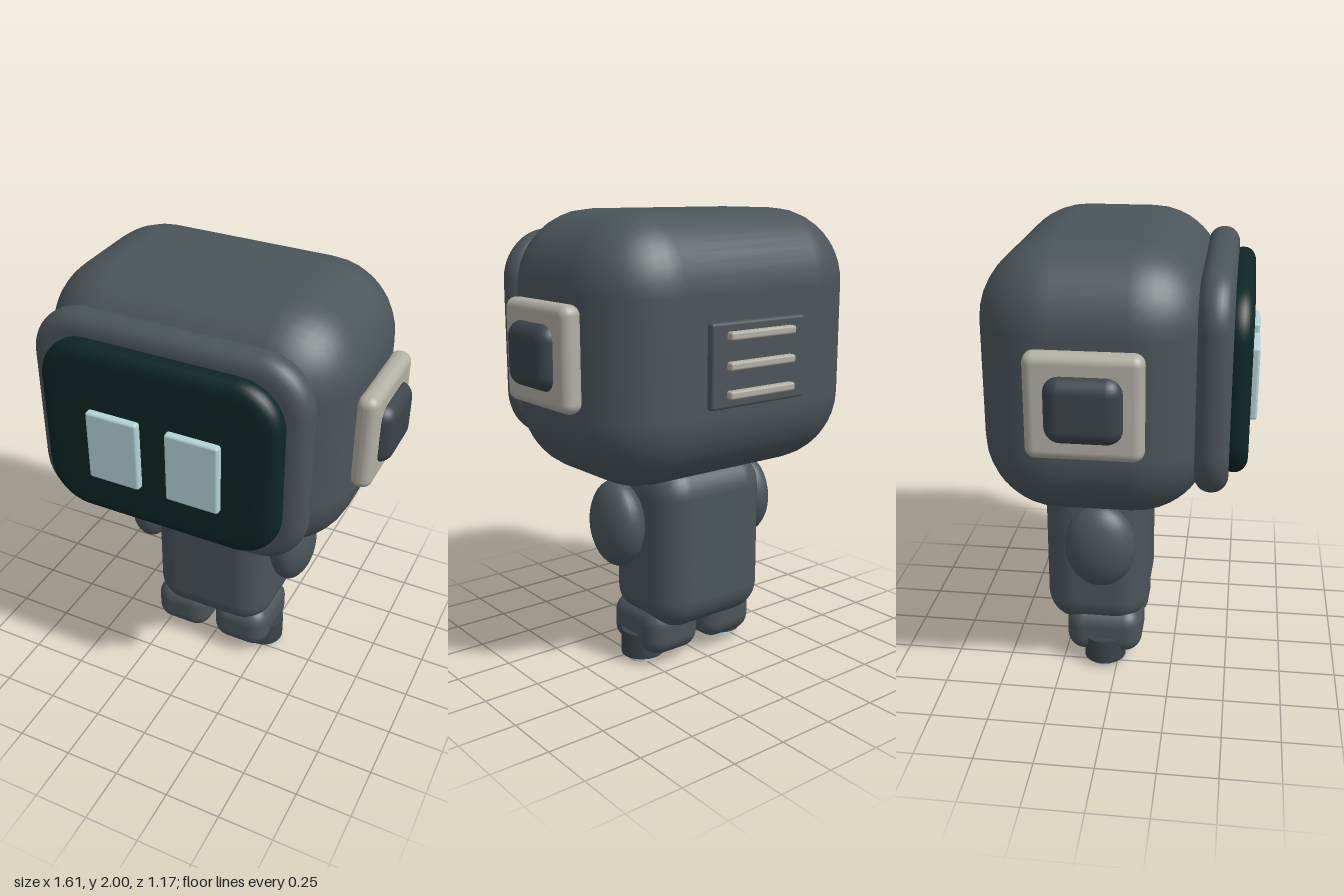
import * as THREE from 'three';
import { RoundedBoxGeometry } from 'three/addons/geometries/RoundedBoxGeometry.js';
import { toCreasedNormals } from 'three/addons/utils/BufferGeometryUtils.js';

const material = (name, color) => {
  const m = new THREE.MeshStandardMaterial({ color });
  m.name = name;
  return m;
};

// Rounded rectangle with pillowed edges, spanning z0..z1
function pillowPlate(w, h, corner, bevel, z0, z1) {
  const x = w / 2 - bevel, y = h / 2 - bevel, r = corner - bevel;
  const s = new THREE.Shape();
  s.absarc(x - r, y - r, r, 0, Math.PI / 2);
  s.absarc(-x + r, y - r, r, Math.PI / 2, Math.PI);
  s.absarc(-x + r, -y + r, r, Math.PI, Math.PI * 1.5);
  s.absarc(x - r, -y + r, r, Math.PI * 1.5, Math.PI * 2);
  s.closePath();
  const depth = 0.01, thick = (z1 - z0 - depth) / 2;
  const g = new THREE.ExtrudeGeometry(s, {
    depth, bevelThickness: thick, bevelSize: bevel, bevelSegments: 6, curveSegments: 8,
  });
  g.translate(0, 0, z0 + thick);
  return toCreasedNormals(g, 0.7);
}

export function createModel() {
  const model = new THREE.Group();
  const shell = material('shell grey', 0x4b555a);
  const dark = material('dark grey', 0x3b444a);
  const glass = material('screen glass', 0x0d2625);
  const glow = material('pale cyan', 0xb4d3d7);
  const trim = material('warm trim', 0xb2afa4);

  const add = (name, geometry, mat, x = 0, y = 0, z = 0) => {
    const mesh = new THREE.Mesh(geometry, mat);
    mesh.name = name;
    mesh.position.set(x, y, z);
    model.add(mesh);
    return mesh;
  };
  // Rounded box given by its extents
  const box = (name, mat, [x0, x1], [y0, y1], [z0, z1], r, seg = 4) =>
    add(name, new RoundedBoxGeometry(x1 - x0, y1 - y0, z1 - z0, seg, r), mat,
      (x0 + x1) / 2, (y0 + y1) / 2, (z0 + z1) / 2);

  // Head, face frame and screen
  box('head', shell, [-0.68, 0.68], [0.88, 2], [-0.53, 0.41], 0.32, 5);
  add('faceFrame', pillowPlate(1.2, 0.93, 0.22, 0.07, 0.34, 0.48), shell, 0, 1.445);
  add('screen', pillowPlate(1.04, 0.78, 0.19, 0.06, 0.44, 0.555), glass, 0, 1.44);

  // Back vent
  box('ventPanel', shell, [-0.25, 0.25], [1.23, 1.575], [-0.56, -0.5], 0.012, 2);
  for (const y of [1.287, 1.403, 1.522])
    box('ventSlat', trim, [-0.175, 0.175], [y - 0.017, y + 0.017], [-0.59, -0.55], 0.01, 2);

  // Torso and chest light
  box('torso', shell, [-0.29, 0.29], [0.185, 0.93], [-0.33, 0.13], 0.14);
  box('chestLight', glow, [-0.155, 0.155], [0.785, 0.86], [0.12, 0.16], 0.015, 2);

  // Mirrored parts
  for (const side of [-1, 1]) {
    const span = (a, b) => (side > 0 ? [a, b] : [-b, -a]);
    box('eye', glow, span(0.06, 0.29), [1.25, 1.56], [0.545, 0.585], 0.012, 2);
    box('earPlate', trim, span(0.665, 0.757), [1.23, 1.655], [-0.295, 0.165], 0.042);
    box('earCap', dark, span(0.665, 0.805), [1.307, 1.575], [-0.215, 0.09], 0.065);

    const arm = add('arm', new THREE.SphereGeometry(1, 24, 16), shell, side * 0.362, 0.667, -0.06);
    arm.scale.set(0.1, 0.193, 0.155);

    box('foot', shell, span(0.017, 0.293), [0.05, 0.272], [-0.235, 0.11], 0.08);
    add('thruster', new THREE.CylinderGeometry(0.095, 0.095, 0.115, 20), dark, side * 0.23, 0.0835, -0.06);
    add('thrusterLight', new THREE.CylinderGeometry(0.066, 0.066, 0.035, 16), glow, side * 0.23, 0.0175, -0.06);
  }
  return model;
}
